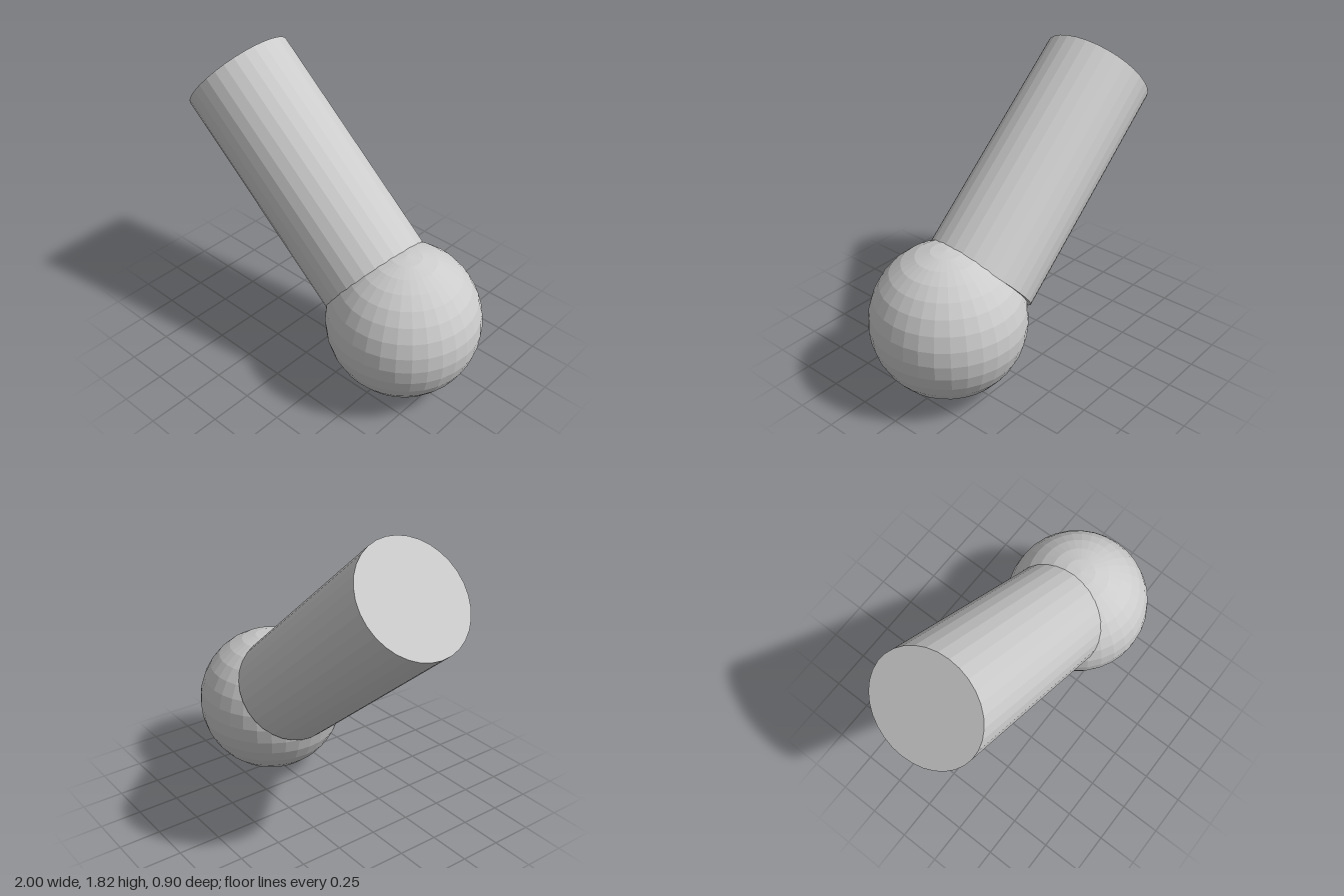
import * as THREE from 'three';

export function createModel() {
  const group = new THREE.Group();
  const material = new THREE.MeshStandardMaterial({ color: 0xcccccc, flatShading: true });

  // Faceted ball resting on the ground
  const radius = 0.4525;
  const ball = new THREE.Mesh(new THREE.SphereGeometry(radius, 32, 16), material);
  ball.name = 'ball';
  ball.position.set(1 - radius, radius, 0);
  group.add(ball);

  // Slanted capped shaft, set slightly behind the ball's centre
  const shaft = new THREE.Mesh(new THREE.CylinderGeometry(0.339, 0.339, 1.436, 32), material);
  shaft.name = 'shaft';
  shaft.position.set(-0.236, 1.096, -0.02);
  shaft.rotation.z = 0.859;
  group.add(shaft);

  return group;
}
